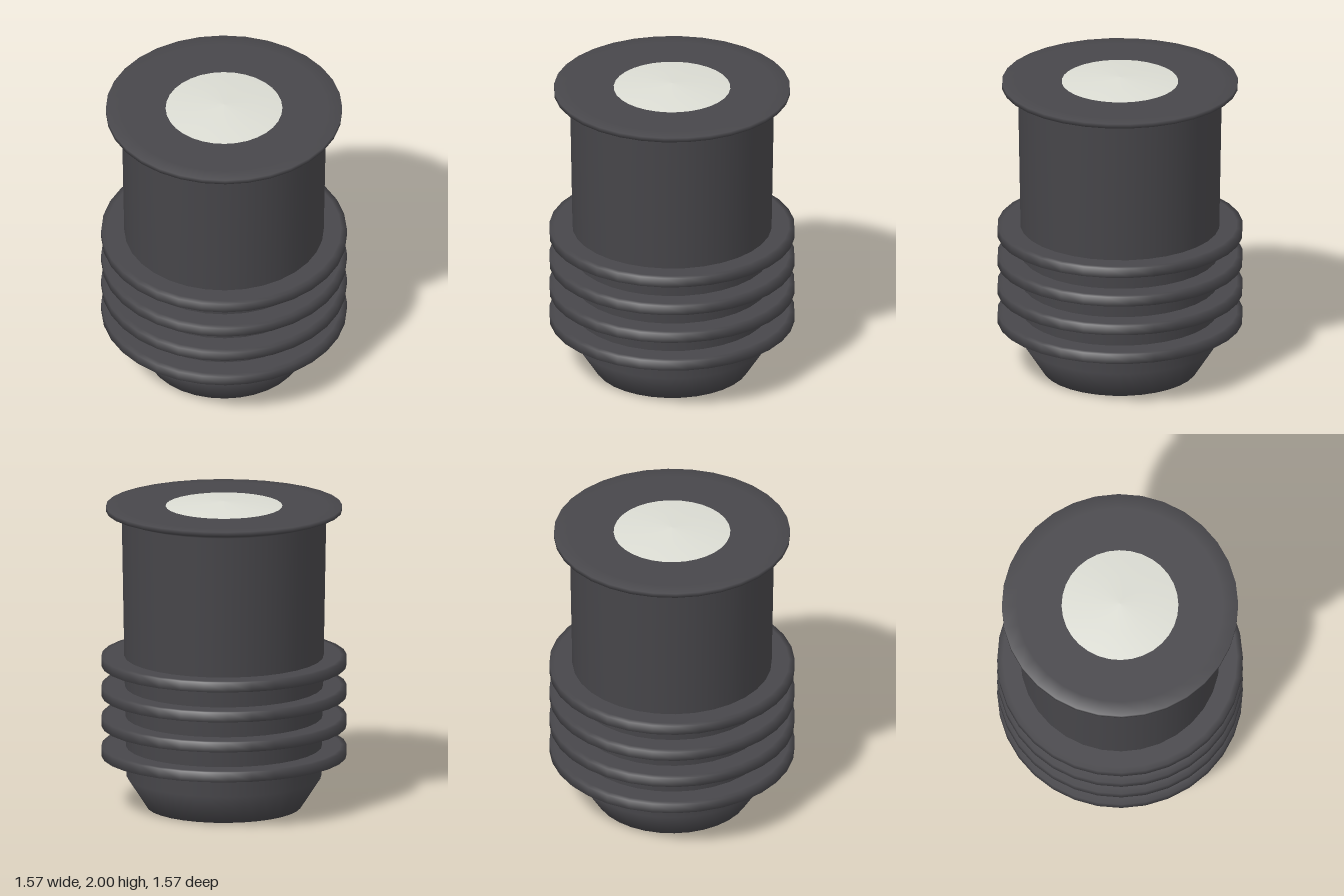
import * as THREE from 'three';

const SEGMENTS = 32;

export function createModel() {
  const model = new THREE.Group();
  const rubber = new THREE.MeshStandardMaterial({ color: 0x48474b });
  rubber.name = 'dark grey rubber';
  const lensWhite = new THREE.MeshStandardMaterial({ color: 0xdcddd4 });
  lensWhite.name = 'pale lens';

  // Revolve a profile of [radius, height] points, listed bottom to top
  function revolve(name, profile, material) {
    const points = profile.map(([r, y]) => new THREE.Vector2(r, y));
    const mesh = new THREE.Mesh(new THREE.LatheGeometry(points, SEGMENTS), material);
    mesh.name = name;
    model.add(mesh);
    return mesh;
  }

  // Tapered housing with chamfered foot and flared top flange
  revolve('housing', [
    [0, 0], [0.495, 0], [0.625, 0.2], [0.655, 1.905],
    [0.757, 1.94], [0.757, 1.97], [0.66, 1.97], [0.3, 1.97], [0, 1.97],
  ], rubber);

  // Four evenly spaced grip fins
  for (let i = 0; i < 4; i++) {
    const fin = revolve('gripFin' + (i + 1), [
      [0.6, 0], [0.75, 0], [0.786, 0], [0.786, 0.064], [0.75, 0.064], [0.6, 0.064],
    ], rubber);
    fin.position.y = 0.333 + i * 0.197;
  }

  // Shallow domed lens in the top face
  revolve('lens', [[0.374, 1.968], [0.374, 1.971], [0.19, 1.988], [0, 2]], lensWhite);

  return model;
}
